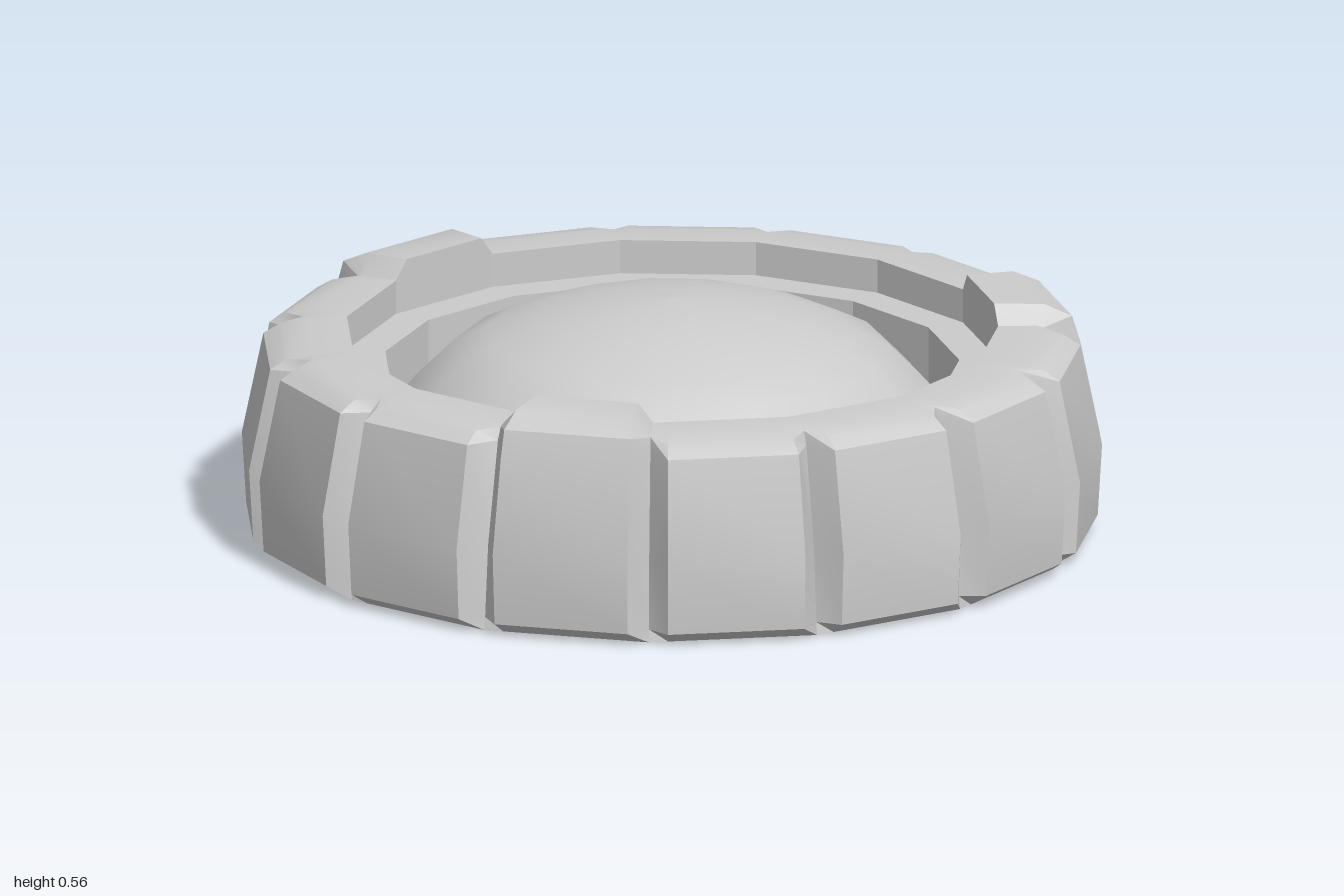
import * as THREE from 'three';
import { toCreasedNormals } from 'three/addons/utils/BufferGeometryUtils.js';

const SIDES = 15;
const STEP = (Math.PI * 2) / SIDES;
const GROOVE = THREE.MathUtils.degToRad(2.7); // half angle of a groove

// Profile from the underside, up the outer wall, and into the well.
// Each row: plate [r, y], groove [r, y], raised plate [r, y].
// chord rows follow straight 15-gon edges between the groove corners.
const ROWS = [
  { plate: [0, 0] },
  { plate: [0.95, 0], chord: true },
  { plate: [0.99, 0.03], groove: [0.945, 0.03] },
  { plate: [1.0, 0.2], groove: [0.93, 0.2] },
  { plate: [0.95, 0.44], groove: [0.88, 0.44], raised: [0.955, 0.42] },
  { plate: [0.91, 0.465], groove: [0.865, 0.47], raised: [0.935, 0.485] },
  { plate: [0.85, 0.475], groove: [0.85, 0.475], raised: [0.87, 0.515] },
  { plate: [0.76, 0.475], raised: [0.76, 0.52], chord: true },
  { plate: [0.76, 0.395], chord: true },
  { plate: [0.67, 0.395], chord: true },
  { plate: [0.67, 0.22], chord: true },
];

// Ring of plates: three columns per side (groove, plate start, plate end)
function ringGeometry() {
  const positions = [];
  const columns = SIDES * 3;
  for (const row of ROWS) {
    for (let c = 0; c < columns; c++) {
      const side = Math.floor(c / 3);
      const kind = c % 3;
      const offset = [0, GROOVE, STEP - GROOVE][kind];
      const isRaised = side % 5 === 3;
      let [r, y] = row.plate;
      if (kind === 0) [r, y] = row.groove ?? row.plate;
      else if (isRaised) [r, y] = row.raised ?? row.plate;
      if (row.chord) r *= Math.cos(STEP / 2) / Math.cos(offset - STEP / 2);
      const a = side * STEP + offset;
      positions.push(r * Math.cos(a), y, r * Math.sin(a));
    }
  }
  const index = [];
  for (let i = 0; i < ROWS.length - 1; i++) {
    for (let j = 0; j < columns; j++) {
      const k = (j + 1) % columns;
      const a = i * columns + j, b = i * columns + k;
      const c = a + columns, d = b + columns;
      index.push(a, c, d);
      if (i > 0) index.push(a, d, b);
    }
  }
  const geometry = new THREE.BufferGeometry();
  geometry.setAttribute('position', new THREE.Float32BufferAttribute(positions, 3));
  geometry.setIndex(index);
  return toCreasedNormals(geometry, 0.4);
}

// Shallow dome, steeper past its rim, filling the well
function domeGeometry() {
  const profile = [
    [0.67, 0.25], [0.6, 0.34], [0.51, 0.43], [0.43, 0.47],
    [0.32, 0.51], [0.2, 0.536], [0.1, 0.549], [0, 0.555],
  ].map(([r, y]) => new THREE.Vector2(r, y));
  return new THREE.LatheGeometry(profile, SIDES, Math.PI / 2);
}

export function createModel() {
  const material = new THREE.MeshStandardMaterial({ color: 0xcccccc });
  const group = new THREE.Group();
  group.name = 'domedBase';

  const ring = new THREE.Mesh(ringGeometry(), material);
  ring.name = 'platedRing';
  const dome = new THREE.Mesh(domeGeometry(), material);
  dome.name = 'dome';

  // The odd side count makes the ring slightly off-centre in x
  for (const mesh of [ring, dome]) {
    mesh.position.x = -0.006;
    group.add(mesh);
  }
  return group;
}
